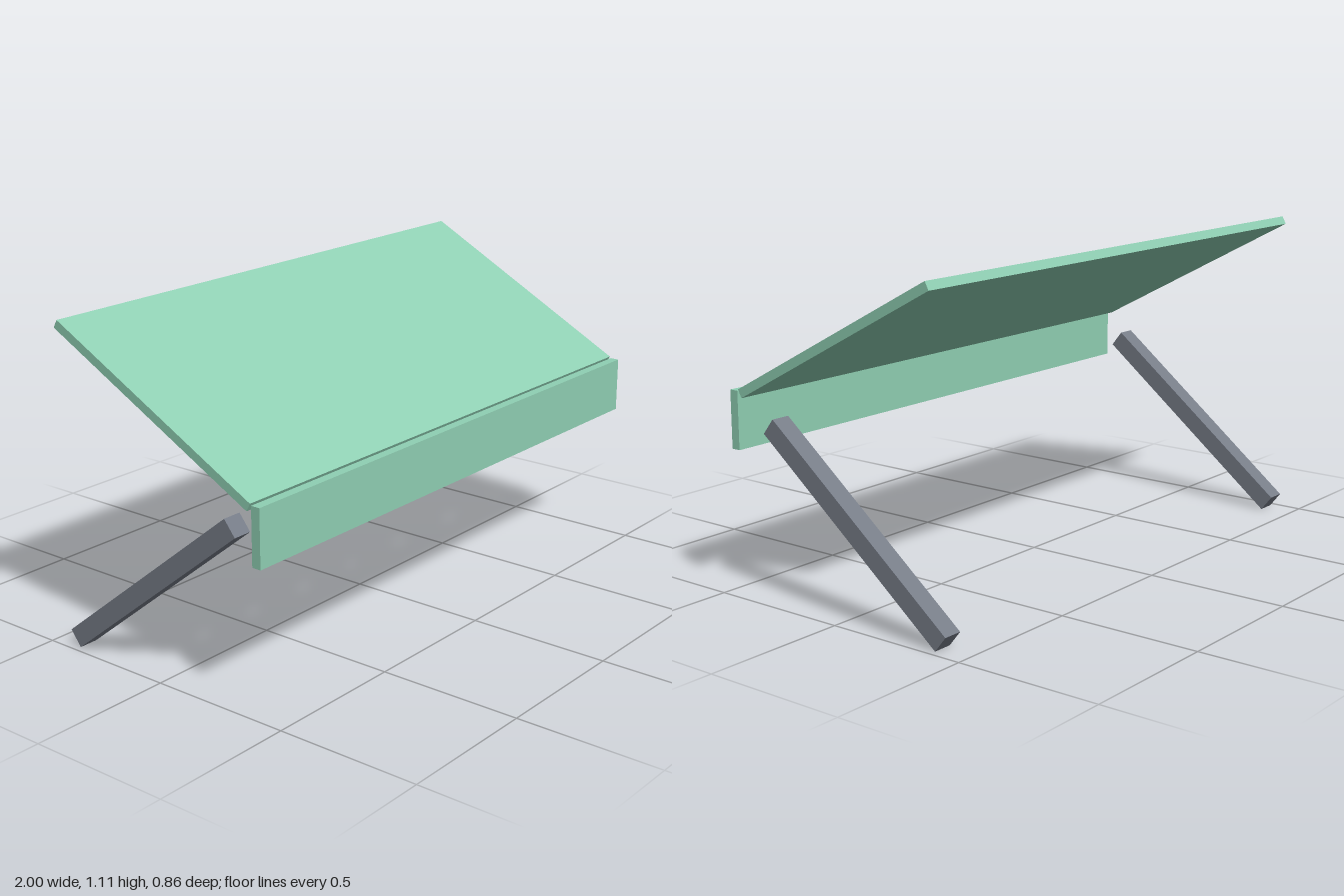
import * as THREE from 'three';

export function createModel() {
  const group = new THREE.Group();
  const fabric = new THREE.MeshStandardMaterial({ color: 0x8fcfb3 });
  fabric.name = 'mint fabric';
  const metal = new THREE.MeshStandardMaterial({ color: 0x777d88 });
  metal.name = 'grey metal';

  // Box running between two (z, y) end points in the side plane
  function slab(name, material, x, width, thickness, [z0, y0], [z1, y1]) {
    const dz = z1 - z0, dy = y1 - y0;
    const mesh = new THREE.Mesh(new THREE.BoxGeometry(width, thickness, Math.hypot(dz, dy)), material);
    mesh.position.set(x, (y0 + y1) / 2, (z0 + z1) / 2);
    mesh.rotation.x = Math.atan2(-dy, dz);
    mesh.name = name;
    group.add(mesh);
  }

  // Sloping canopy, high at the back
  slab('canopy', fabric, 0, 2, 0.03, [-0.396, 1.097], [0.389, 0.681]);

  // Hanging front valance
  slab('valance', fabric, 0, 2, 0.032, [0.416, 0.497], [0.416, 0.689]);

  // Diagonal support arms
  for (const [side, name] of [[1, 'leftArm'], [-1, 'rightArm']]) {
    slab(name, metal, side * 0.943, 0.067, 0.066, [-0.409, 0.029], [0.291, 0.585]);
  }
  return group;
}
